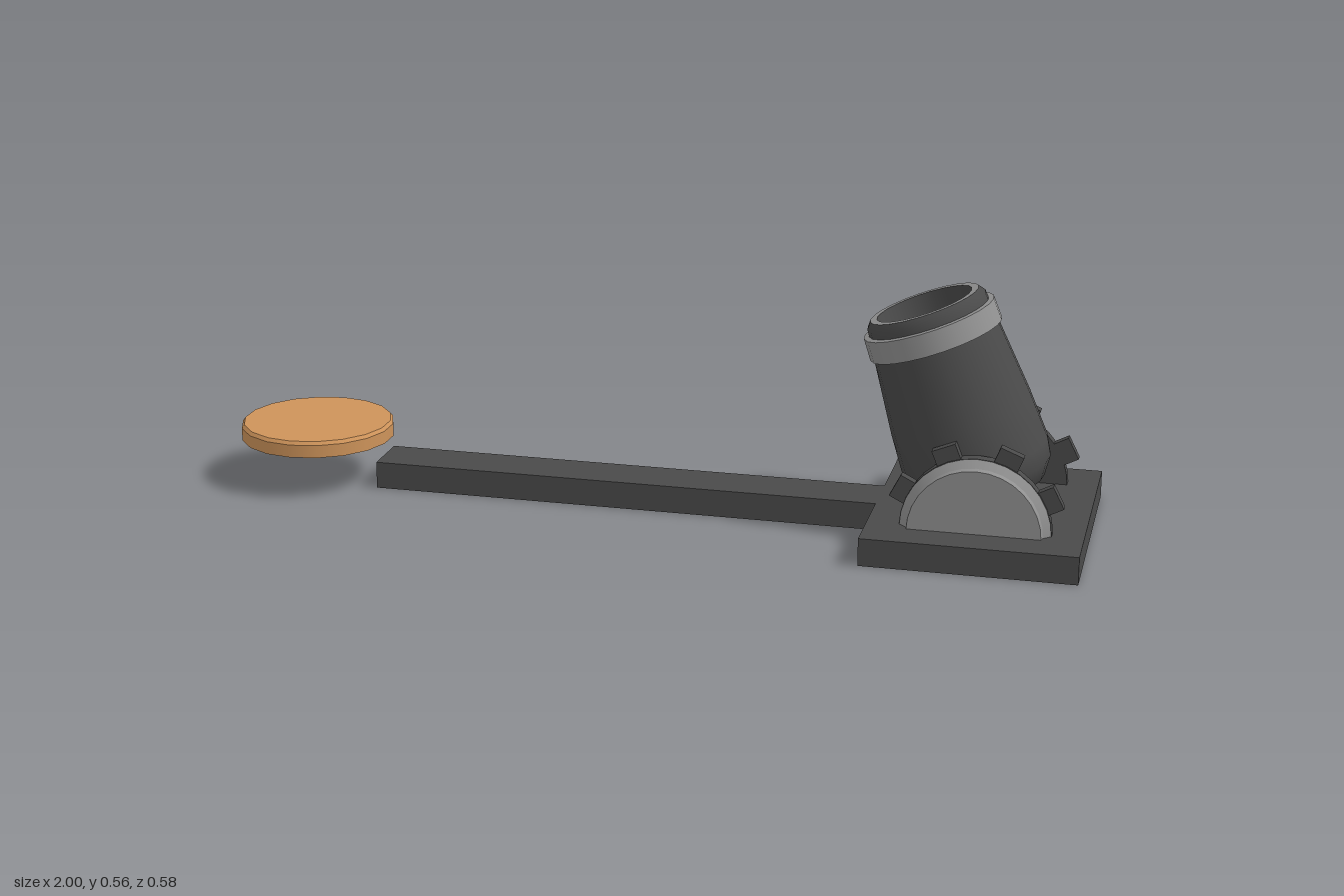
import * as THREE from 'three';

const iron = new THREE.MeshStandardMaterial({ color: 0x4a4a4a, side: THREE.DoubleSide });
iron.name = 'dark iron';
const steel = new THREE.MeshStandardMaterial({ color: 0x919191, side: THREE.DoubleSide });
steel.name = 'light steel';
const wood = new THREE.MeshStandardMaterial({ color: 0xcd935a });
wood.name = 'orange wood';

function add(parent, name, geometry, material, x = 0, y = 0, z = 0) {
  const mesh = new THREE.Mesh(geometry, material);
  mesh.name = name;
  mesh.position.set(x, y, z);
  parent.add(mesh);
  return mesh;
}

// Surface of revolution from [radius, height] pairs
const lathe = (pairs, sides = 24) =>
  new THREE.LatheGeometry(pairs.map(([r, y]) => new THREE.Vector2(r, y)), sides);

// Upper half of a cylinder or frustum whose axis runs along z
function halfDisc(rOuter, rInner, z0, z1, open) {
  const g = new THREE.CylinderGeometry(rOuter, rInner, z1 - z0, 16, 1, open, Math.PI / 2, Math.PI);
  g.rotateX(Math.PI / 2);
  g.translate(0, 0, (z0 + z1) / 2);
  return g;
}

// Base plate and long beam: one hollow shell, open underneath and at the beam's end
function makeBase() {
  const base = new THREE.Group();
  base.name = 'base';
  const h = 0.063;
  const outline = [[-0.66, 0.06], [0.525, 0.06], [0.525, 0.29], [1, 0.29],
    [1, -0.29], [0.525, -0.29], [0.525, -0.065], [-0.66, -0.065]];
  const top = new THREE.ShapeGeometry(
    new THREE.Shape(outline.map(([x, z]) => new THREE.Vector2(x, -z))));
  top.rotateX(-Math.PI / 2);
  add(base, 'baseTop', top, iron, 0, h, 0);

  const pos = [];
  for (let i = 0; i < outline.length - 1; i++) {
    const [ax, az] = outline[i], [bx, bz] = outline[i + 1];
    pos.push(ax, 0, az, bx, 0, bz, bx, h, bz, ax, 0, az, bx, h, bz, ax, h, az);
  }
  const walls = new THREE.BufferGeometry();
  walls.setAttribute('position', new THREE.Float32BufferAttribute(pos, 3));
  walls.computeVertexNormals();
  add(base, 'baseWalls', walls, iron);
  return base;
}

// Half-round cheek with a pale face and four lugs around its rim
function makeCheek(name) {
  const cheek = new THREE.Group();
  cheek.name = name;
  add(cheek, 'cheekBody', halfDisc(0.167, 0.167, 0.162, 0.188), iron);
  add(cheek, 'cheekBevel', halfDisc(0.15, 0.166, 0.188, 0.203, true), steel);
  add(cheek, 'cheekFace', halfDisc(0.147, 0.15, 0.203, 0.215), steel);
  add(cheek, 'cheekFoot', new THREE.BoxGeometry(0.334, 0.008, 0.027), steel, 0, -0.002, 0.2015);
  for (const degrees of [27, 68, 112, 153]) {
    const a = THREE.MathUtils.degToRad(degrees);
    const lug = add(cheek, 'lug', new THREE.BoxGeometry(0.04, 0.055, 0.023), iron,
      0.18 * Math.cos(a), 0.18 * Math.sin(a), 0.1735);
    lug.rotation.z = a;
  }
  return cheek;
}

// Tilted barrel, measured down from the centre of the muzzle
function makeBarrel() {
  const barrel = new THREE.Group();
  barrel.name = 'barrel';
  add(barrel, 'barrelBody', lathe([[0, -0.485], [0.08, -0.476], [0.135, -0.45], [0.162, -0.41],
    [0.168, -0.37], [0.162, -0.26], [0.144, -0.08], [0.139, -0.03]]), iron);
  add(barrel, 'muzzleRim', lathe([[0.139, -0.035], [0.137, -0.014], [0.126, 0]]), iron);
  add(barrel, 'muzzleLip', lathe([[0.126, 0], [0.11, 0]]), steel);
  add(barrel, 'bore', lathe([[0.11, 0], [0.11, -0.3]]), iron);
  add(barrel, 'boreFloor', lathe([[0.11, -0.3], [0, -0.3]]), iron);
  // Pale reinforcing band
  add(barrel, 'bandFace', lathe([[0.153, -0.083], [0.151, -0.032]]), steel);
  add(barrel, 'bandTop', lathe([[0.151, -0.032], [0.136, -0.03]]), steel);
  add(barrel, 'bandUnderside', lathe([[0.142, -0.085], [0.153, -0.083]]), steel);
  barrel.position.set(0.611, 0.515, -0.011);
  barrel.rotation.z = THREE.MathUtils.degToRad(20);
  return barrel;
}

export function createModel() {
  const model = new THREE.Group();
  model.name = 'mortar';
  model.add(makeBase(), makeBarrel());

  const front = makeCheek('frontCheek');
  const back = makeCheek('backCheek');
  back.rotation.y = Math.PI;
  for (const cheek of [front, back]) {
    cheek.position.set(0.763, 0.06, -0.01);
    model.add(cheek);
  }

  // Floating round disc with a small bevel on its upper edge
  const disc = new THREE.Group();
  disc.name = 'disc';
  add(disc, 'discBody', new THREE.CylinderGeometry(0.18, 0.18, 0.03, 18), wood, 0, 0.015, 0);
  add(disc, 'discBevel', new THREE.CylinderGeometry(0.174, 0.18, 0.008, 18), wood, 0, 0.034, 0);
  disc.position.set(-0.82, 0.106, 0.015);
  model.add(disc);
  return model;
}
